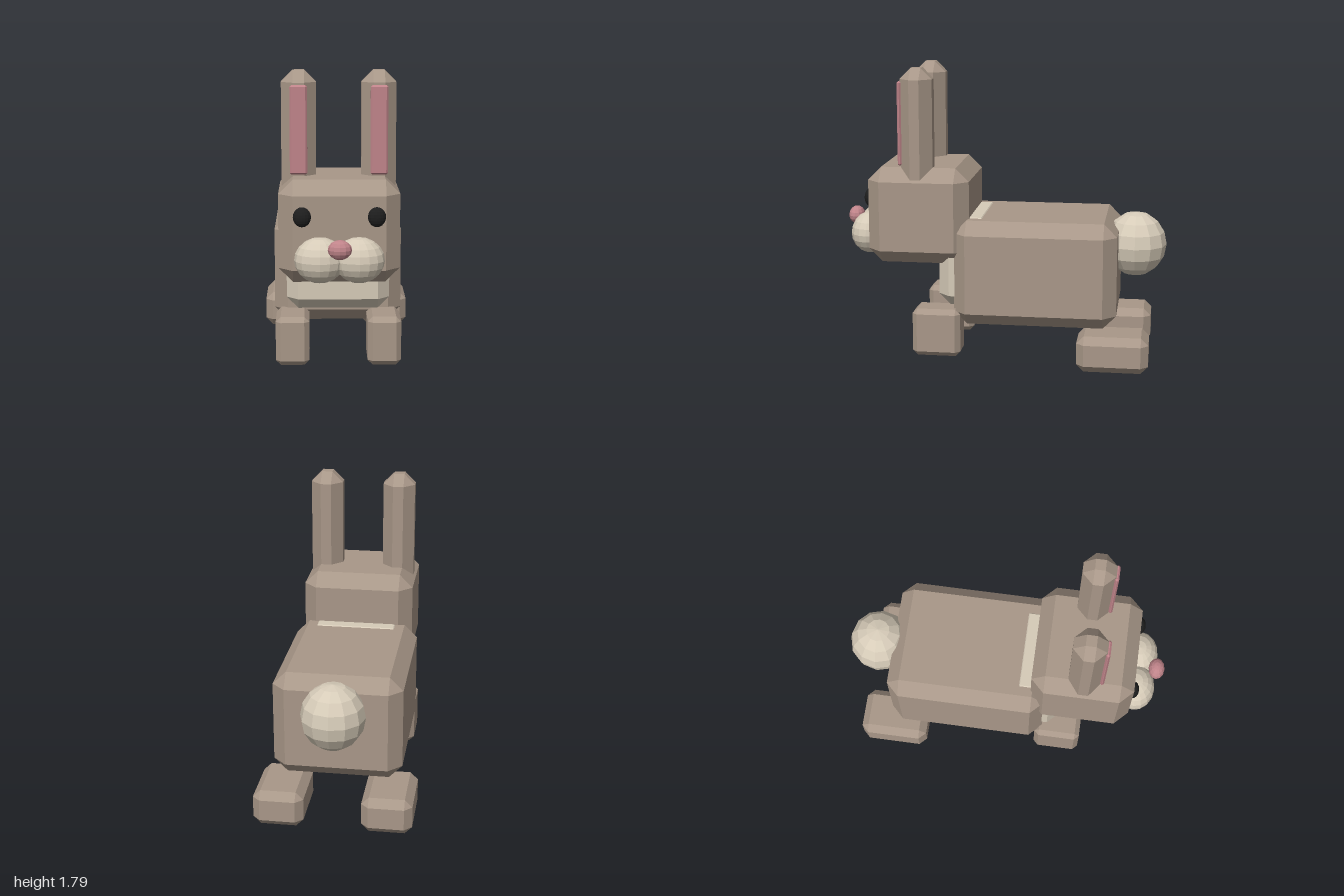
import * as THREE from 'three';
import { ConvexGeometry } from 'three/addons/geometries/ConvexGeometry.js';

function material(name, color) {
  const m = new THREE.MeshStandardMaterial({ color, flatShading: true });
  m.name = name;
  return m;
}

// Box between two corners, with every edge cut by one flat chamfer
function chamferBox([x0, y0, z0], [x1, y1, z1], c) {
  const half = new THREE.Vector3((x1 - x0) / 2, (y1 - y0) / 2, (z1 - z0) / 2);
  const points = [];
  for (const sx of [-1, 1]) for (const sy of [-1, 1]) for (const sz of [-1, 1]) {
    for (let axis = 0; axis < 3; axis++) {
      const p = new THREE.Vector3(half.x - c, half.y - c, half.z - c);
      p.setComponent(axis, half.getComponent(axis));
      points.push(p.multiply(new THREE.Vector3(sx, sy, sz)));
    }
  }
  return new ConvexGeometry(points).translate((x0 + x1) / 2, (y0 + y1) / 2, (z0 + z1) / 2);
}

function ellipsoid([x, y, z], [rx, ry, rz], around = 16, rings = 10) {
  return new THREE.SphereGeometry(1, around, rings).scale(rx, ry, rz).translate(x, y, z);
}

export function createModel() {
  const fur = material('fur', 0xa89788);
  const cream = material('cream', 0xd6cbb8);
  const pink = material('pink', 0xc0848a);
  const black = material('black', 0x1e1e1e);

  const model = new THREE.Group();
  model.name = 'rabbit';

  function add(name, geometry, mat, parent = model) {
    const mesh = new THREE.Mesh(geometry, mat);
    mesh.name = name;
    parent.add(mesh);
  }

  // Body, chest and tail
  add('body', chamferBox([-0.385, 0.235, -0.71], [0.385, 0.88, 0.28], 0.08), fur);
  add('chest', chamferBox([-0.31, 0.335, 0.05], [0.31, 0.885, 0.38], 0.07), cream);
  add('tail', ellipsoid([0, 0.7, -0.81], [0.19, 0.2, 0.19], 12, 8), cream);

  // Head and nose
  add('head', chamferBox([-0.345, 0.6, 0.19], [0.345, 1.19, 0.81], 0.082), fur);
  add('nose', ellipsoid([0, 0.833, 0.95], [0.067, 0.056, 0.05], 12, 8), pink);

  // Paired parts, placed on each side
  for (const [side, s] of [['left', 1], ['right', -1]]) {
    const box = (cx, w, y0, y1, z0, z1, c) =>
      chamferBox([s * cx - w / 2, y0, z0], [s * cx + w / 2, y1, z1], c);

    const ear = new THREE.Group();
    ear.name = side + 'Ear';
    model.add(ear);
    add('earShell', box(0.23, 0.2, 1.03, 1.79, 0.41, 0.605, 0.067), fur, ear);
    add('innerEar', box(0.23, 0.1, 1.2, 1.71, 0.597, 0.622, 0.01), pink, ear);

    add(side + 'Eye', ellipsoid([s * 0.21, 0.99, 0.81], [0.051, 0.057, 0.035]), black);
    add(side + 'Cheek', ellipsoid([s * 0.11, 0.75, 0.835], [0.145, 0.13, 0.12]), cream);
    add(side + 'FrontLeg', box(0.273, 0.2, 0.035, 0.33, 0.235, 0.53, 0.03), fur);
    add(side + 'HindFoot', box(0.32, 0.3, 0, 0.22, -0.91, -0.48, 0.045), fur);
  }

  return model;
}
